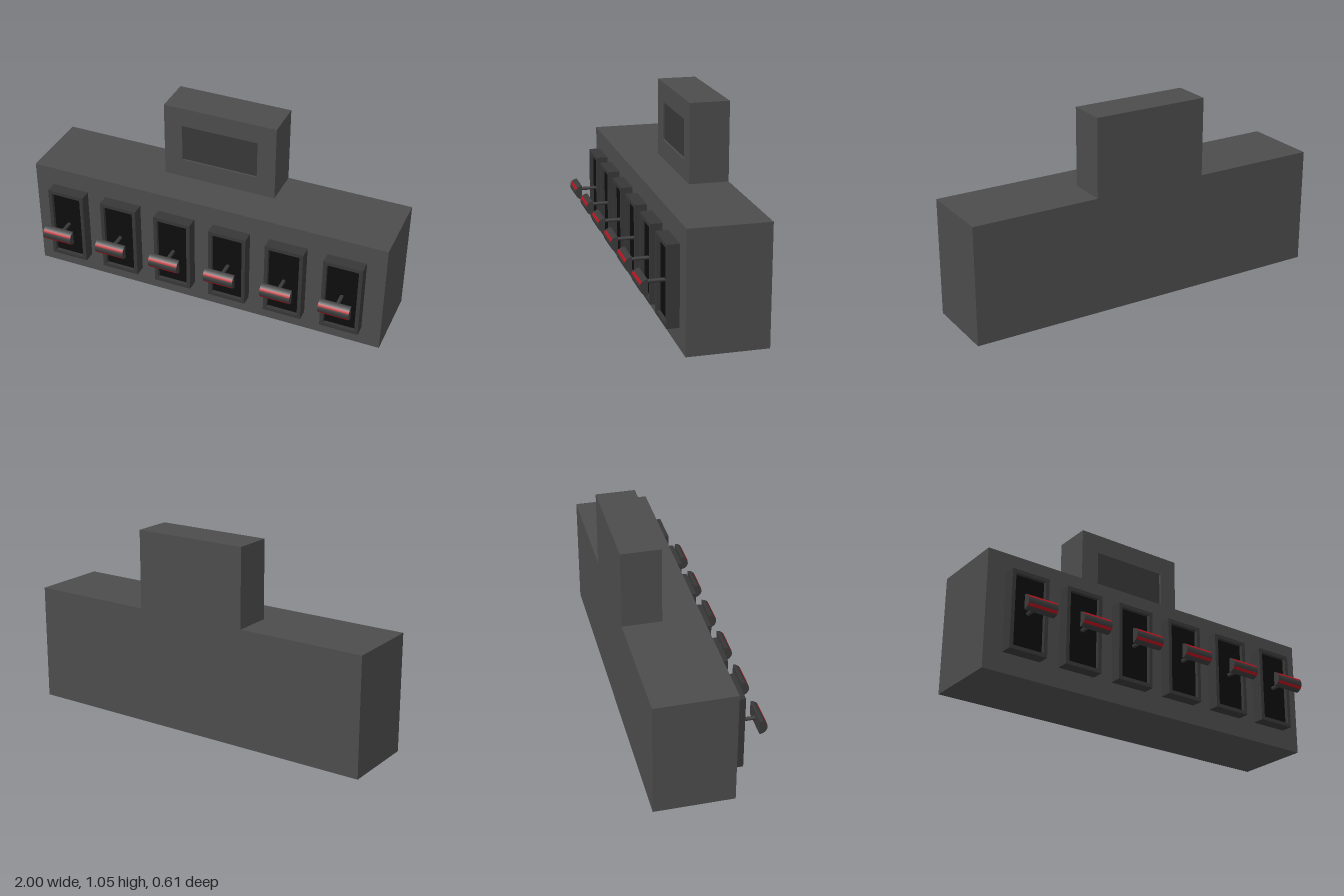
import * as THREE from 'three';

const material = (color) => new THREE.MeshStandardMaterial({ color, roughness: 0.8 });
const bodyMat = material(0x4c4c4c);
const frameMat = material(0x373737);
const panelMat = material(0x0d0d0d);
const gripMat = material(0x3a3a3a);
const redMat = material(0xb0141e);

function add(parent, name, geometry, mat, x = 0, y = 0, z = 0) {
  const mesh = new THREE.Mesh(geometry, mat);
  mesh.name = name;
  mesh.position.set(x, y, z);
  parent.add(mesh);
  return mesh;
}

function rectangle(path, w, h) {
  path.moveTo(-w / 2, -h / 2);
  path.lineTo(w / 2, -h / 2);
  path.lineTo(w / 2, h / 2);
  path.lineTo(-w / 2, h / 2);
  path.closePath();
  return path;
}

// Rectangular block with a rectangular opening through it, back face at z = 0
function frameGeometry(w, h, depth, openW, openH) {
  const shape = rectangle(new THREE.Shape(), w, h);
  shape.holes.push(rectangle(new THREE.Path(), openW, openH));
  return new THREE.ExtrudeGeometry(shape, { depth, bevelEnabled: false });
}

// Slice of a cylinder lying along x; the angle is measured upward from +z
function arcGeometry(radius, length, start, sweep, segments, open) {
  return new THREE.CylinderGeometry(radius, radius, length, segments, 1, open, start, sweep).rotateZ(Math.PI / 2);
}

function createLever() {
  const lever = new THREE.Group();
  lever.name = 'leverUnit';

  // Raised frame with a sunken dark panel
  add(lever, 'leverFrame', frameGeometry(0.21, 0.42, 0.065, 0.17, 0.38), frameMat, 0, 0.316, 0.115);
  add(lever, 'leverPanel', new THREE.BoxGeometry(0.17, 0.38, 0.045), panelMat, 0, 0.316, 0.1375);

  // Stem and half-round grip
  const stem = new THREE.CylinderGeometry(0.01, 0.01, 0.115, 12).rotateX(Math.PI / 2);
  add(lever, 'leverStem', stem, gripMat, 0, 0.316, 0.2125);
  const grip = new THREE.Group();
  grip.name = 'leverGrip';
  grip.position.set(0, 0.316, 0.264);
  add(grip, 'gripBody', arcGeometry(0.04, 0.165, -Math.PI / 2, Math.PI, 8, false), gripMat);
  add(grip, 'gripBack', new THREE.PlaneGeometry(0.165, 0.08).rotateY(Math.PI), gripMat);

  // Two red stripes along the grip
  const step = Math.PI / 8;
  for (const start of [step, -2 * step]) {
    add(grip, 'gripStripe', arcGeometry(0.041, 0.165, start, step, 1, true), redMat);
  }
  lever.add(grip);
  return lever;
}

export function createModel() {
  const model = new THREE.Group();
  model.name = 'leverConsole';

  // Long main cabinet
  add(model, 'cabinet', new THREE.BoxGeometry(2, 0.632, 0.418), bodyMat, 0, 0.316, -0.094);

  // Display housing: solid rear, framed front, recessed screen
  const housing = new THREE.Group();
  housing.name = 'displayHousing';
  housing.position.set(0, 0.843, 0);
  add(housing, 'housingRear', new THREE.BoxGeometry(0.63, 0.422, 0.19), bodyMat, 0, 0, -0.208);
  add(housing, 'housingFront', frameGeometry(0.63, 0.422, 0.02, 0.425, 0.21), bodyMat, 0, 0, -0.113);
  add(housing, 'screen', new THREE.BoxGeometry(0.425, 0.21, 0.01), frameMat, 0, 0, -0.108);
  model.add(housing);

  // Row of six levers
  for (let i = 0; i < 6; i++) {
    const lever = createLever();
    lever.position.x = (i - 2.5) * 0.3165;
    model.add(lever);
  }
  return model;
}
